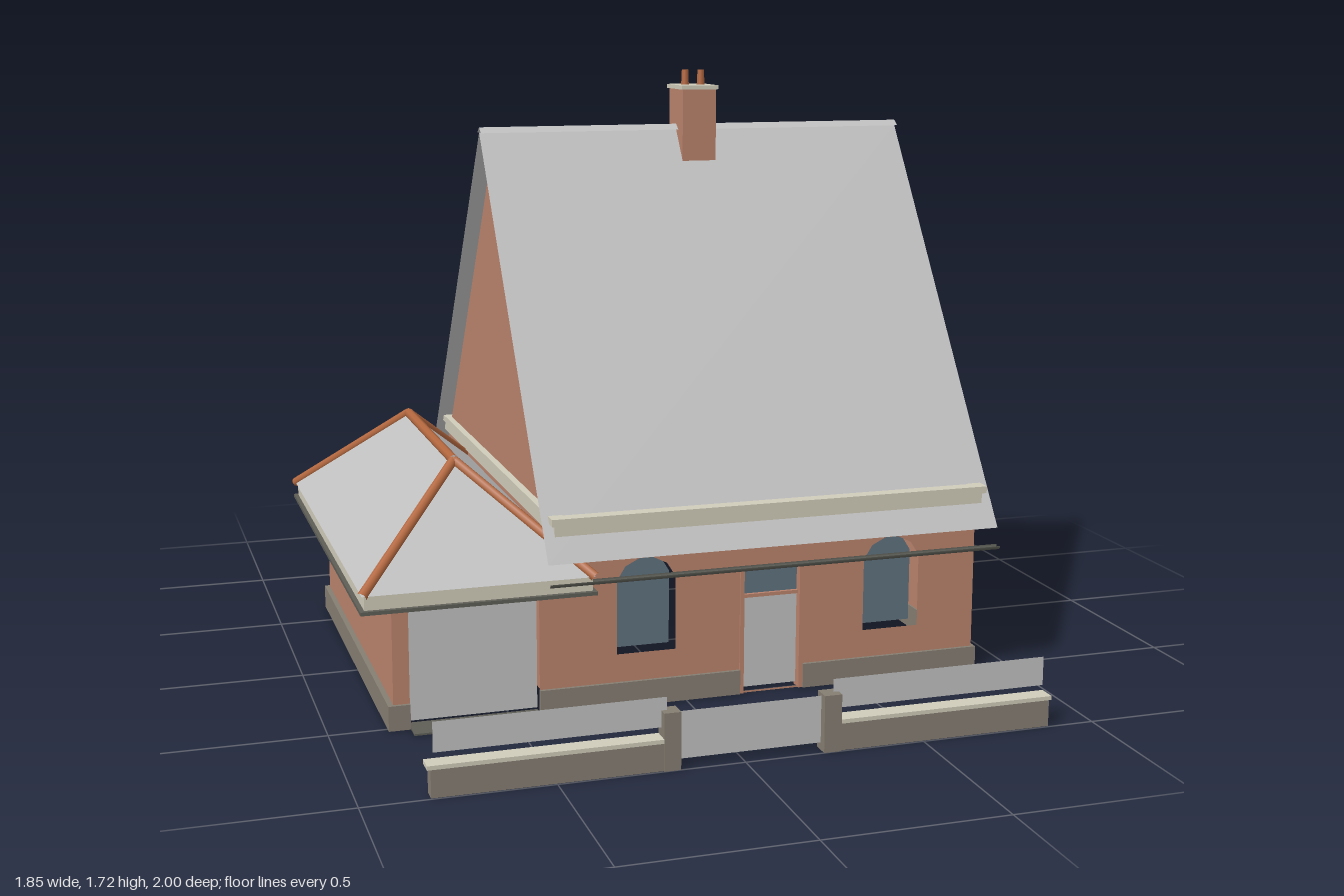
import * as THREE from 'three';

const mat = (name, color, side = THREE.FrontSide) => {
  const m = new THREE.MeshStandardMaterial({ color, side });
  m.name = name;
  return m;
};

export function createModel() {
  const D = THREE.DoubleSide;
  const brick = mat('brick', 0xb9826c, D);
  const slate = mat('light grey', 0xc0c0c0, D);
  const stone = mat('plinth stone', 0x857d72);
  const cream = mat('cream trim', 0xd0ccba);
  const glass = mat('window glass', 0x60727f, D);
  const tile = mat('ridge tile', 0xb4683f);
  const iron = mat('gutter', 0x5e5e57, D);

  const root = new THREE.Group();
  root.name = 'cottage';
  const add = (name, geo, material) => {
    const m = new THREE.Mesh(geo, material);
    m.name = name;
    root.add(m);
    return m;
  };
  const box = (name, material, x0, x1, y0, y1, z0, z1) => {
    const m = add(name, new THREE.BoxGeometry(x1 - x0, y1 - y0, z1 - z0), material);
    m.position.set((x0 + x1) / 2, (y0 + y1) / 2, (z0 + z1) / 2);
    return m;
  };
  // Rectangular ring of four bars with wall thickness t
  const ring = (name, material, x0, x1, y0, y1, z0, z1, t) => {
    box(name + 'Left', material, x0, x0 + t, y0, y1, z0, z1);
    box(name + 'Right', material, x1 - t, x1, y0, y1, z0, z1);
    box(name + 'Front', material, x0 + t, x1 - t, y0, y1, z1 - t, z1);
    box(name + 'Back', material, x0 + t, x1 - t, y0, y1, z0, z0 + t);
  };
  const pts = (list) => list.map(([x, y]) => new THREE.Vector2(x, y));
  const rect = (x0, x1, y0, y1) => [[x0, y0], [x1, y0], [x1, y1], [x0, y1]];
  // Flat panel facing +z, with optional openings
  const panel = (name, material, outline, z, holes = []) => {
    const s = new THREE.Shape(pts(outline));
    holes.forEach((h) => s.holes.push(new THREE.Path(pts(h))));
    const m = add(name, new THREE.ShapeGeometry(s), material);
    m.position.z = z;
    return m;
  };
  // Flat panel facing +x, outline given as [z, y]
  const sidePanel = (name, material, outline, x) => {
    const m = panel(name, material, outline.map(([z, y]) => [-z, y]), 0);
    m.rotation.y = Math.PI / 2;
    m.position.x = x;
    return m;
  };
  // Sheet from triangles or quads of corner points
  const sheet = (name, material, faces) => {
    const v = [];
    faces.forEach((f) => {
      for (let i = 1; i < f.length - 1; i++) v.push(...f[0], ...f[i], ...f[i + 1]);
    });
    const g = new THREE.BufferGeometry();
    g.setAttribute('position', new THREE.Float32BufferAttribute(v, 3));
    g.computeVertexNormals();
    return add(name, g, material);
  };

  // Main house walls
  const arch = (c) => [[c - 0.085, 0.15], [c + 0.085, 0.15], [c + 0.085, 0.36], [c + 0.06, 0.4],
    [c + 0.02, 0.42], [c - 0.02, 0.42], [c - 0.06, 0.4], [c - 0.085, 0.36]];
  const arches = [arch(-0.115), arch(0.62)];
  panel('houseFrontWall', brick, rect(-0.37, 0.88, 0, 0.52), 0.51, [...arches, rect(0.16, 0.35, 0.005, 0.37)]);
  panel('houseBackWall', brick, rect(-0.37, 0.88, 0, 0.52), -0.91);
  const gable = [[0.51, 0], [0.51, 0.5], [0.46, 0.55], [-0.2, 1.5], [-0.86, 0.55], [-0.91, 0.5], [-0.91, 0]];
  sidePanel('rightGableWall', brick, gable, 0.88);
  sidePanel('leftGableWall', brick, gable, -0.37);

  // Windows and door
  arches.forEach((a) => panel('archedWindow', glass, a, 0.45));
  [[0.45, 0.59], [-0.085, 0.055]].forEach(([a, b]) => panel('backWindow', glass, rect(a, b, 0.135, 0.38), -0.914));
  sidePanel('rightWindow', glass, rect(-0.27, -0.125, 0.14, 0.38), 0.884);
  panel('door', slate, rect(0.17, 0.34, 0.01, 0.275), 0.49);
  panel('doorTransomGlass', glass, rect(0.17, 0.34, 0.285, 0.36), 0.49);
  box('doorFrameLeft', brick, 0.16, 0.172, 0, 0.37, 0.48, 0.515);
  box('doorFrameRight', brick, 0.338, 0.35, 0, 0.37, 0.48, 0.515);
  box('doorFrameTop', brick, 0.16, 0.35, 0.358, 0.37, 0.48, 0.515);
  box('doorFrameRail', brick, 0.172, 0.338, 0.275, 0.285, 0.48, 0.5);

  // Stone plinth, broken at the doors
  const P = 0.07;
  [[-0.84, -0.78], [-0.42, 0.16], [0.35, 0.89]].forEach(([a, b]) => box('frontPlinth', stone, a, b, 0, P, 0.505, 0.52));
  box('backPlinth', stone, -0.38, 0.89, 0, P, -0.92, -0.905);
  box('rightPlinth', stone, 0.875, 0.89, 0, P, -0.92, 0.52);
  box('leftPlinth', stone, -0.38, -0.365, 0, P, -0.92, -0.63);
  box('annexLeftPlinth', stone, -0.84, -0.82, 0, P, -0.645, 0.52);
  box('annexBackPlinth', stone, -0.84, -0.37, 0, P, -0.645, -0.625);

  // Cornice around the house
  ring('cornice', cream, -0.38, 0.89, 0.5, 0.535, -0.93, 0.53, 0.03);
  ring('corniceLip', cream, -0.39, 0.9, 0.535, 0.555, -0.94, 0.54, 0.04);

  // Main roof, ridge cap and eaves gutters
  const X0 = -0.41, X1 = 0.92;
  const pitched = (name, top, drop, half) => [1, -1].forEach((s) => {
    const z = -0.2 + s * half;
    const f = [[X0, top - drop, z], [X1, top - drop, z], [X1, top, -0.2], [X0, top, -0.2]];
    sheet(name, slate, [s > 0 ? f : f.reverse()]);
  });
  pitched('mainRoof', 1.545, 1.105, 0.775);
  pitched('ridgeCap', 1.56, 0.016, 0.024);
  [0.583, -0.988].forEach((z) => {
    const g = new THREE.CylinderGeometry(0.012, 0.012, X1 - X0, 8, 1, true, 0, Math.PI);
    g.rotateZ(-Math.PI / 2);
    const m = add('eavesGutter', g, iron);
    m.position.set((X0 + X1) / 2, 0.391, z);
  });

  // Chimney with two pots
  box('chimney', brick, 0.2, 0.305, 0.56, 1.665, -0.265, -0.135);
  box('chimneyCap', cream, 0.195, 0.31, 1.665, 1.677, -0.273, -0.128);
  [0.228, 0.278].forEach((x) => {
    const m = add('chimneyPot', new THREE.CylinderGeometry(0.01, 0.012, 0.045, 12), tile);
    m.position.set(x, 1.699, -0.2);
  });

  // Side annex
  panel('annexFrontWall', brick, rect(-0.825, -0.37, 0, 0.4), 0.51, [rect(-0.78, -0.42, 0.005, 0.33)]);
  panel('annexBackWall', brick, rect(-0.825, -0.37, 0, 0.4), -0.635);
  sidePanel('annexLeftWall', brick, rect(-0.635, 0.51, 0, 0.4), -0.825);
  panel('annexDoor', slate, rect(-0.78, -0.42, 0.01, 0.33), 0.48);
  box('annexDoorStep', iron, -0.78, -0.42, 0, 0.005, 0.48, 0.57);
  sidePanel('annexSideWindow', glass, rect(-0.13, -0.03, 0.23, 0.33), -0.829);
  ring('annexFascia', cream, -0.908, -0.288, 0.36, 0.402, -0.708, 0.582, 0.03);
  ring('annexGutter', iron, -0.92, -0.278, 0.352, 0.362, -0.722, 0.595, 0.025);

  // Hipped annex roof with ridge and hip tiles
  const E = 0.402;
  const c = [[-0.915, E, 0.59], [-0.283, E, 0.59], [-0.283, E, -0.715], [-0.915, E, -0.715]];
  const rf = [-0.6, 0.675, 0.27], rb = [-0.6, 0.675, -0.4];
  sheet('annexRoof', slate, [[c[0], c[1], rf], [c[1], c[2], rb, rf], [c[2], c[3], rb], [c[3], c[0], rf, rb]]);
  [[rf, rb], [rf, c[0]], [rf, c[1]], [rb, c[2]], [rb, c[3]]].forEach(([a, b]) => {
    const path = new THREE.LineCurve3(new THREE.Vector3(...a), new THREE.Vector3(...b));
    add('ridgeTiles', new THREE.TubeGeometry(path, 1, 0.014, 8), tile);
  });

  // Garden wall, fence panels, posts and gate
  [[-0.82, -0.22, -0.81, -0.205], [0.265, 0.87, 0.25, 0.86]].forEach(([a, b, p, q]) => {
    box('gardenWall', stone, a, b, 0, 0.075, 0.955, 0.995);
    box('gardenWallCap', cream, a < 0 ? a - 0.01 : a, a < 0 ? b : b + 0.005, 0.075, 0.086, 0.95, 1);
    panel('fencePanel', slate, rect(p, q, 0.11, 0.19), 0.975);
  });
  box('gatePostLeft', stone, -0.22, -0.175, 0, 0.155, 0.952, 1);
  box('gatePostRight', stone, 0.217, 0.265, 0, 0.155, 0.952, 1);
  panel('gate', slate, rect(-0.175, 0.217, 0.02, 0.148), 0.975);

  return root;
}
